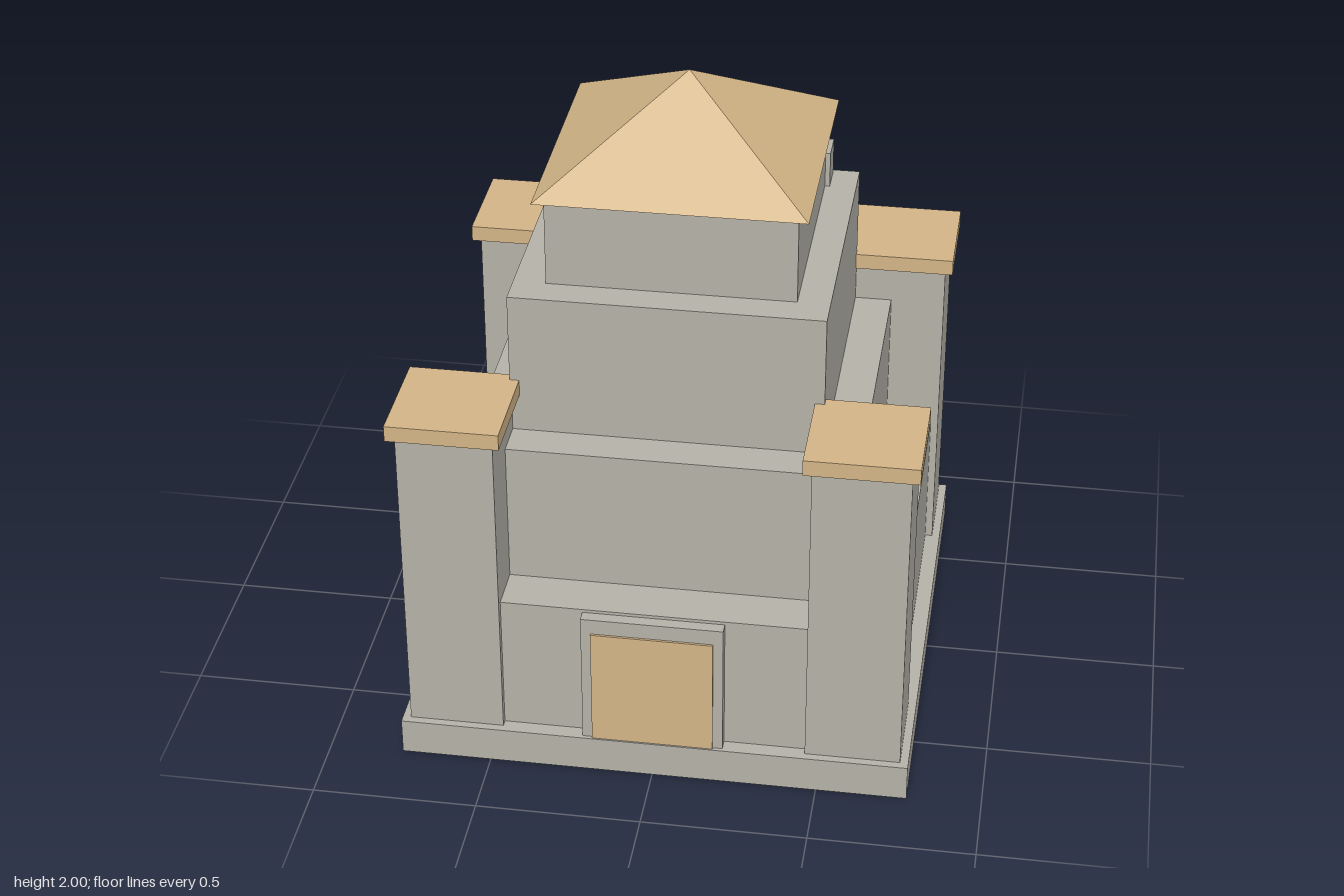
import * as THREE from 'three';

export function createModel() {
  const model = new THREE.Group();
  model.name = 'steppedTower';

  const stone = new THREE.MeshStandardMaterial({ color: 0xb4b1a8 });
  stone.name = 'grey stone';
  const tan = new THREE.MeshStandardMaterial({ color: 0xd2b486 });
  tan.name = 'tan wood';

  // Box given by its two extreme corners
  function block(name, material, [x0, y0, z0], [x1, y1, z1]) {
    const mesh = new THREE.Mesh(new THREE.BoxGeometry(x1 - x0, y1 - y0, z1 - z0), material);
    mesh.position.set((x0 + x1) / 2, (y0 + y1) / 2, (z0 + z1) / 2);
    mesh.name = name;
    model.add(mesh);
  }

  // Plinth and shrinking square storeys: name, half width, bottom, top
  const storeys = [
    ['plinth', 0.775, 0, 0.115],
    ['lowerStorey', 0.727, 0.115, 0.56],
    ['middleStorey', 0.582, 0.56, 1.01],
    ['upperStorey', 0.467, 1.01, 1.46],
    ['topStorey', 0.37, 1.46, 1.735],
  ];
  for (const [name, h, y0, y1] of storeys) block(name, stone, [-h, y0, -h], [h, y1, h]);

  // Pyramid roof
  const roofGeometry = new THREE.ConeGeometry(0.402 * Math.SQRT2, 0.265, 4)
    .rotateY(Math.PI / 4).toNonIndexed();
  roofGeometry.computeVertexNormals();
  const roof = new THREE.Mesh(roofGeometry, tan);
  roof.position.y = 1.8675;
  roof.name = 'roof';
  model.add(roof);

  // Four corner towers with flat caps
  for (const sx of [-1, 1]) for (const sz of [-1, 1]) {
    const x = sx * 0.606, z = sz * 0.606, t = 0.144, c = 0.168;
    block('cornerTower', stone, [x - t, 0.115, z - t], [x + t, 1.13, z + t]);
    block('towerCap', tan, [x - c, 1.13, z - c], [x + c, 1.18, z + c]);
  }

  // Doorway
  block('doorFrame', stone, [-0.214, 0.115, 0.70], [0.214, 0.55, 0.763]);
  block('door', tan, [-0.184, 0.115, 0.762], [0.184, 0.5, 0.77]);

  // Chimneys at the back
  block('tallChimney', stone, [-0.317, 1.01, -0.5], [-0.222, 1.69, -0.4]);
  block('shortChimney', stone, [0.287, 1.46, -0.455], [0.385, 1.573, -0.355]);

  return model;
}
